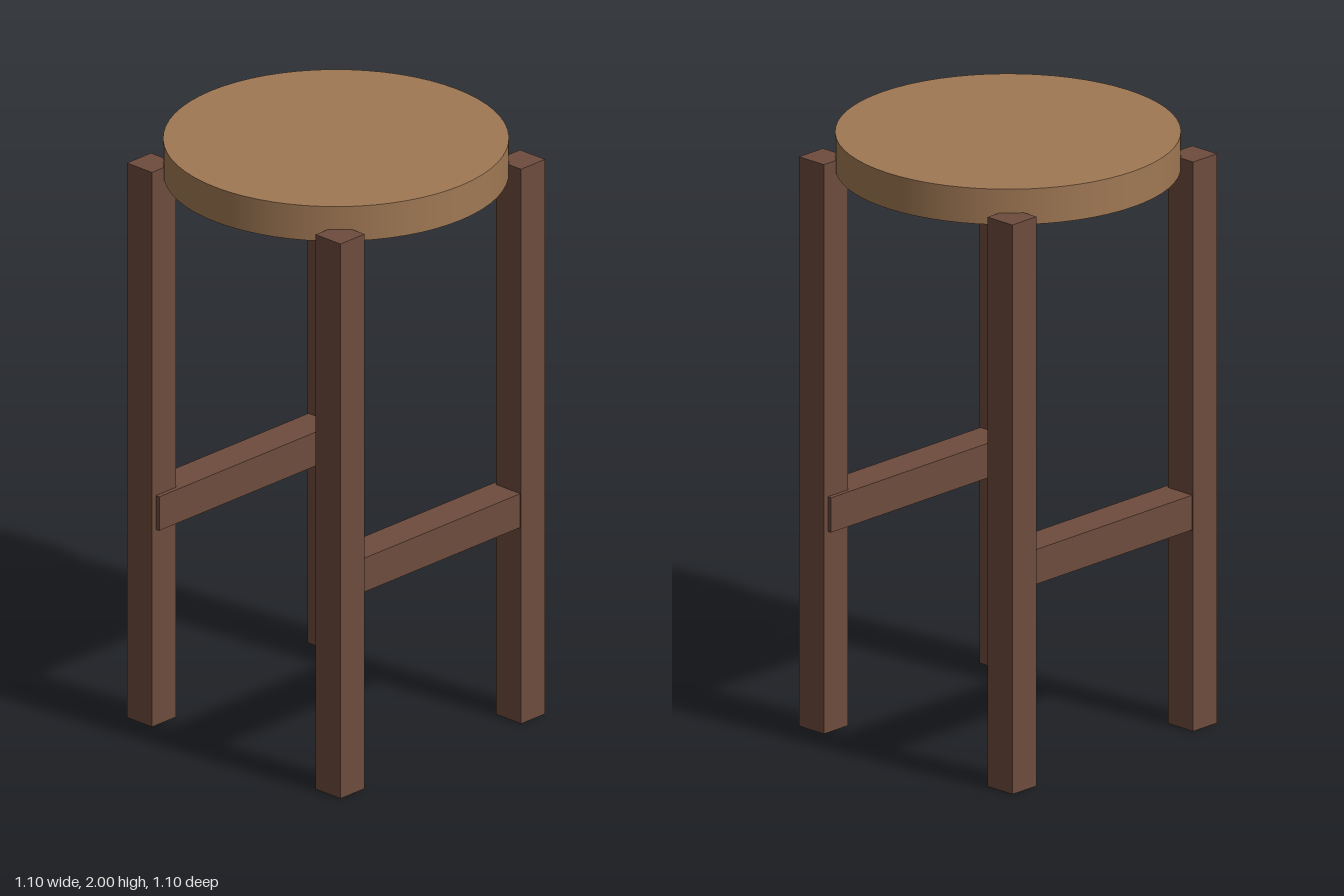
import * as THREE from 'three';

export function createModel() {
  const stool = new THREE.Group();
  stool.name = 'stool';

  const seatWood = new THREE.MeshStandardMaterial({ color: 0xa07854 });
  seatWood.name = 'light wood';
  const frameWood = new THREE.MeshStandardMaterial({ color: 0x6d4c3d });
  frameWood.name = 'dark wood';

  const add = (name, geometry, material, x, y, z) => {
    const mesh = new THREE.Mesh(geometry, material);
    mesh.name = name;
    mesh.position.set(x, y, z);
    stool.add(mesh);
  };

  // Round seat
  add('seat', new THREE.CylinderGeometry(0.55, 0.55, 0.12, 64), seatWood, 0, 1.94, 0);

  // Square legs, let into the underside of the seat
  const legGeometry = new THREE.BoxGeometry(0.11, 1.92, 0.11);
  // Footrest rails, slightly proud of the legs on the inside
  const railGeometry = new THREE.BoxGeometry(0.904, 0.117, 0.121);

  for (const [end, sz] of [['front', 1], ['back', -1]]) {
    for (const [side, sx] of [['Left', 1], ['Right', -1]]) {
      add(`${end}${side}Leg`, legGeometry, frameWood, sx * 0.415, 0.96, sz * 0.415);
    }
    add(`${end}Rail`, railGeometry, frameWood, 0, 0.737, sz * 0.4055);
  }

  return stool;
}
